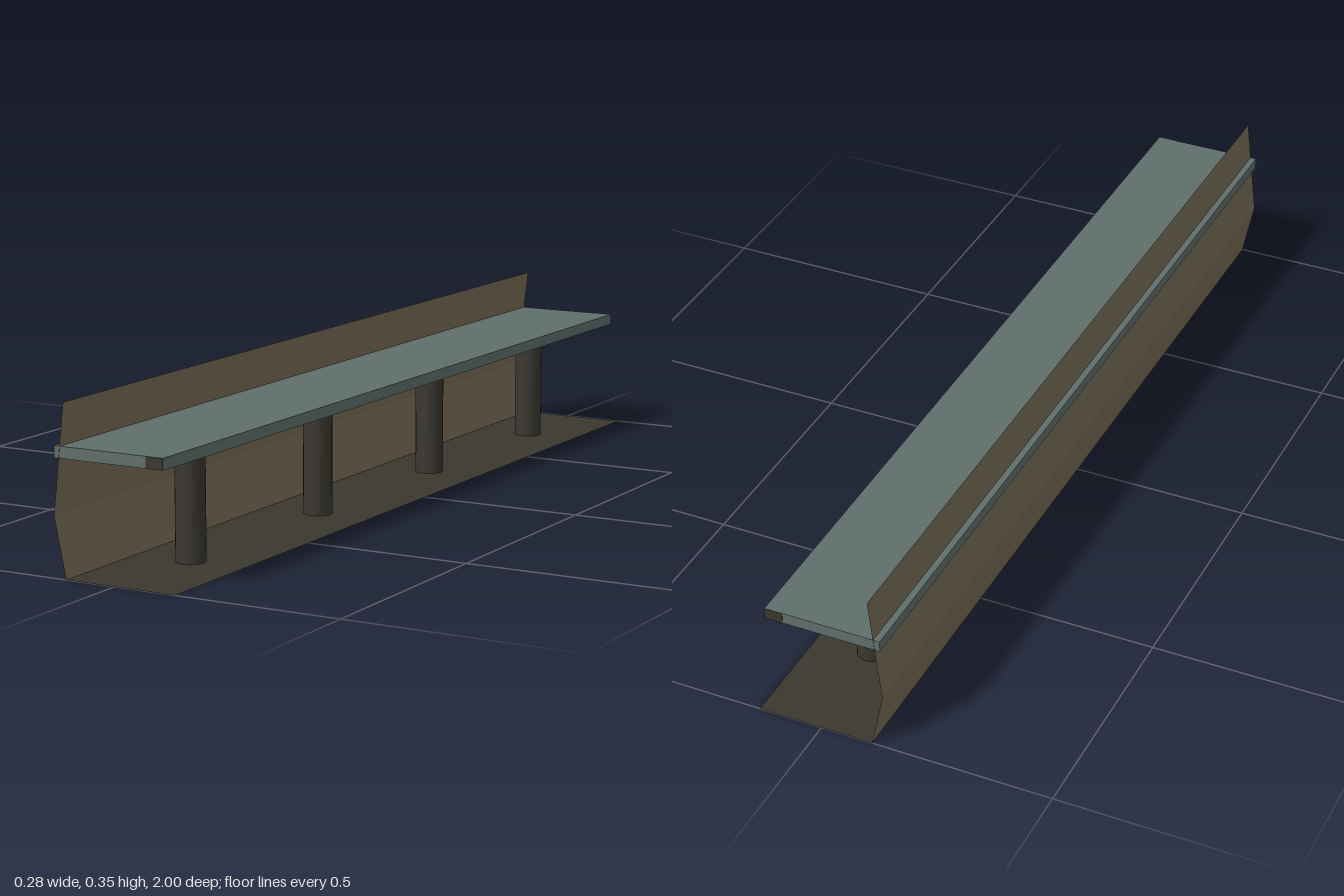
import * as THREE from 'three';

const mat = (name, color, side = THREE.FrontSide) => {
  const m = new THREE.MeshStandardMaterial({ color, side });
  m.name = name;
  return m;
};

export function createModel() {
  const group = new THREE.Group();
  const teal = mat('slate teal', 0x5f6f6b);
  const dark = mat('dark brown', 0x3a372f, THREE.DoubleSide);
  const tan = mat('tan', 0x776c56, THREE.DoubleSide);

  const add = (name, geometry, material, x, y, z) => {
    const mesh = new THREE.Mesh(geometry, material);
    mesh.name = name;
    mesh.position.set(x, y, z);
    group.add(mesh);
    return mesh;
  };

  // Flat sheet running the full length between two profile points [x, y]
  const sheet = (name, a, b, material) => {
    const length = Math.hypot(b[0] - a[0], b[1] - a[1]);
    const geometry = new THREE.PlaneGeometry(length, 2).rotateX(-Math.PI / 2);
    const mesh = add(name, geometry, material, (a[0] + b[0]) / 2, (a[1] + b[1]) / 2, 0);
    mesh.rotation.z = Math.atan2(b[1] - a[1], b[0] - a[0]);
  };

  // Floor and the bent back wall
  sheet('floor', [-0.112, 0], [0.138, 0], dark);
  sheet('lowerWall', [-0.138, 0.125], [-0.112, 0], tan);
  sheet('upperWall', [-0.112, 0.35], [-0.138, 0.125], tan);

  // Counter slab, passing through the wall
  add('counter', new THREE.BoxGeometry(0.25, 0.024, 1.998), teal, -0.011, 0.251, 0);

  // Dark plates on both ends of the slab
  for (const s of [-1, 1]) {
    add('counterEndPlate', new THREE.BoxGeometry(0.039, 0.024, 0.002), dark, 0.0945, 0.251, s * 0.999);
  }

  // Four supporting posts
  for (const z of [-0.75, -0.25, 0.25, 0.75]) {
    add('post', new THREE.CylinderGeometry(0.031, 0.031, 0.24, 24), dark, 0.0145, 0.12, z);
  }

  return group;
}
